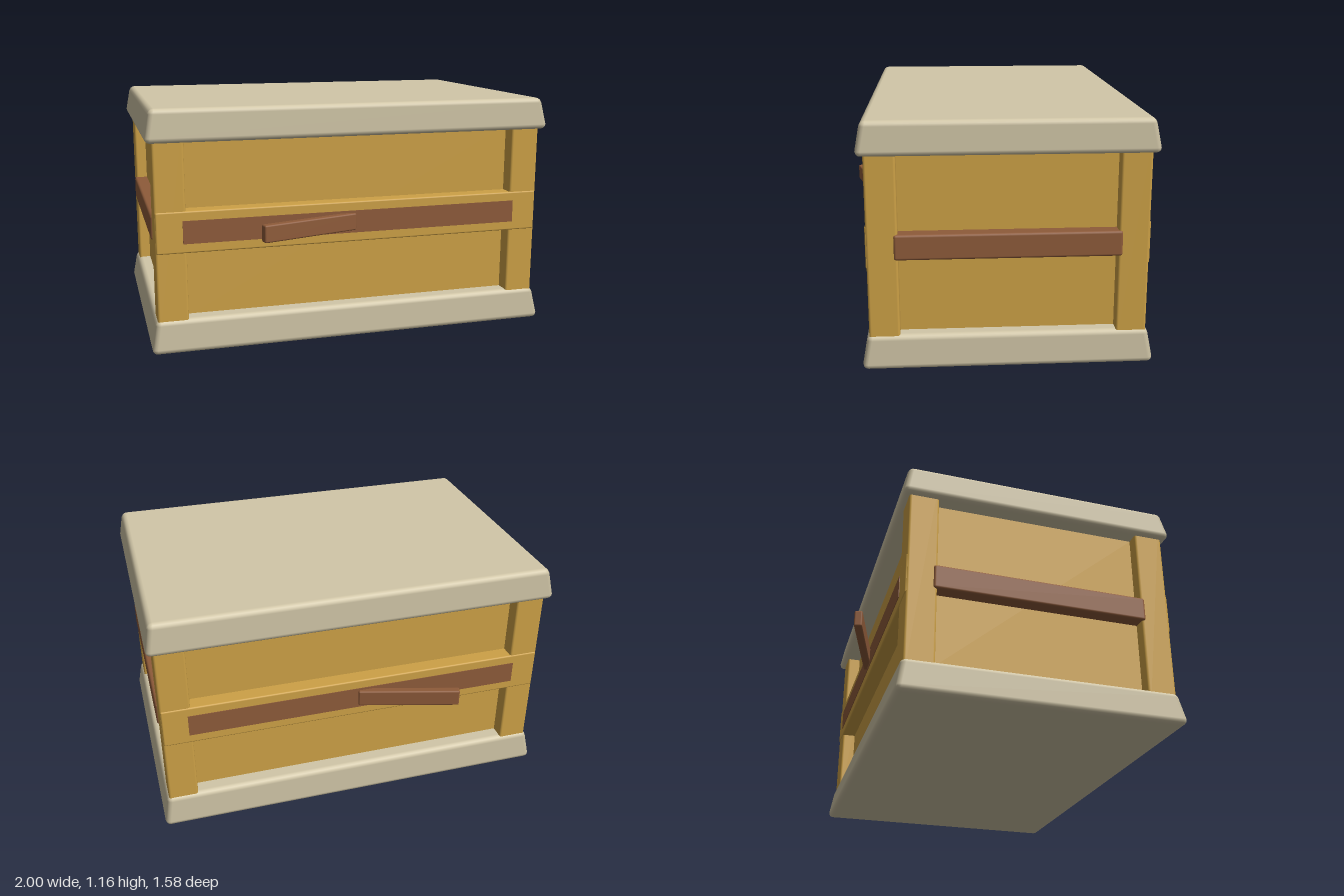
import * as THREE from 'three';
import { RoundedBoxGeometry } from 'three/addons/geometries/RoundedBoxGeometry.js';

const wood = new THREE.MeshStandardMaterial({ color: 0xcda146 });
wood.name = 'golden wood';
const brown = new THREE.MeshStandardMaterial({ color: 0x8e5b3a });
brown.name = 'brown wood';
const cream = new THREE.MeshStandardMaterial({ color: 0xd2c7a8 });
cream.name = 'cream slab';

export function createModel() {
  const model = new THREE.Group();

  // Box with softened edges, placed by its centre
  const add = (name, material, [w, h, d], [x, y, z], radius = 0) => {
    const geometry = radius
      ? new RoundedBoxGeometry(w, h, d, 2, radius)
      : new THREE.BoxGeometry(w, h, d);
    const mesh = new THREE.Mesh(geometry, material);
    mesh.name = name;
    mesh.position.set(x, y, z);
    model.add(mesh);
    return mesh;
  };

  // Base and lid slabs, narrowing slightly towards the top
  const addSlab = (name, bottom, height) => {
    const slab = add(name, cream, [2, height, 1.344], [0, bottom + height / 2, 0], 0.025);
    const p = slab.geometry.attributes.position;
    for (let i = 0; i < p.count; i++) {
      const inset = 0.028 * Math.max(0, (p.getY(i) + height / 2 - 0.025) / height);
      p.setX(i, p.getX(i) - Math.sign(p.getX(i)) * inset);
      p.setZ(i, p.getZ(i) - Math.sign(p.getZ(i)) * inset);
    }
  };
  addSlab('base', 0, 0.16);
  addSlab('lid', 1, 0.156);

  // Recessed panels
  add('body', wood, [1.82, 0.96, 1.14], [0, 0.58, 0]);

  for (const sx of [-1, 1]) {
    // Corner posts
    for (const sz of [-1, 1]) {
      add('cornerPost', wood, [0.146, 0.94, 0.142], [sx * 0.896, 0.58, sz * 0.57], 0.012);
    }
    // Side bars
    add('sideBar', brown, [0.08, 0.12, 1.036], [sx * 0.937, 0.58, 0], 0.012);
  }

  for (const sz of [-1, 1]) {
    // Rails with a brown inlay, front and back
    add('rail', wood, [1.93, 0.2, 0.09], [0, 0.58, sz * 0.6], 0.008);
    add('railInlay', brown, [1.68, 0.11, 0.006], [0, 0.58, sz * 0.645]);

    // Handle slanting out of the rail
    const handle = add('handle', brown, [0.5, 0.084, 0.04], [-0.247, 0.582, sz * 0.708], 0.008);
    handle.rotation.y = sz * 0.27;
  }

  return model;
}
